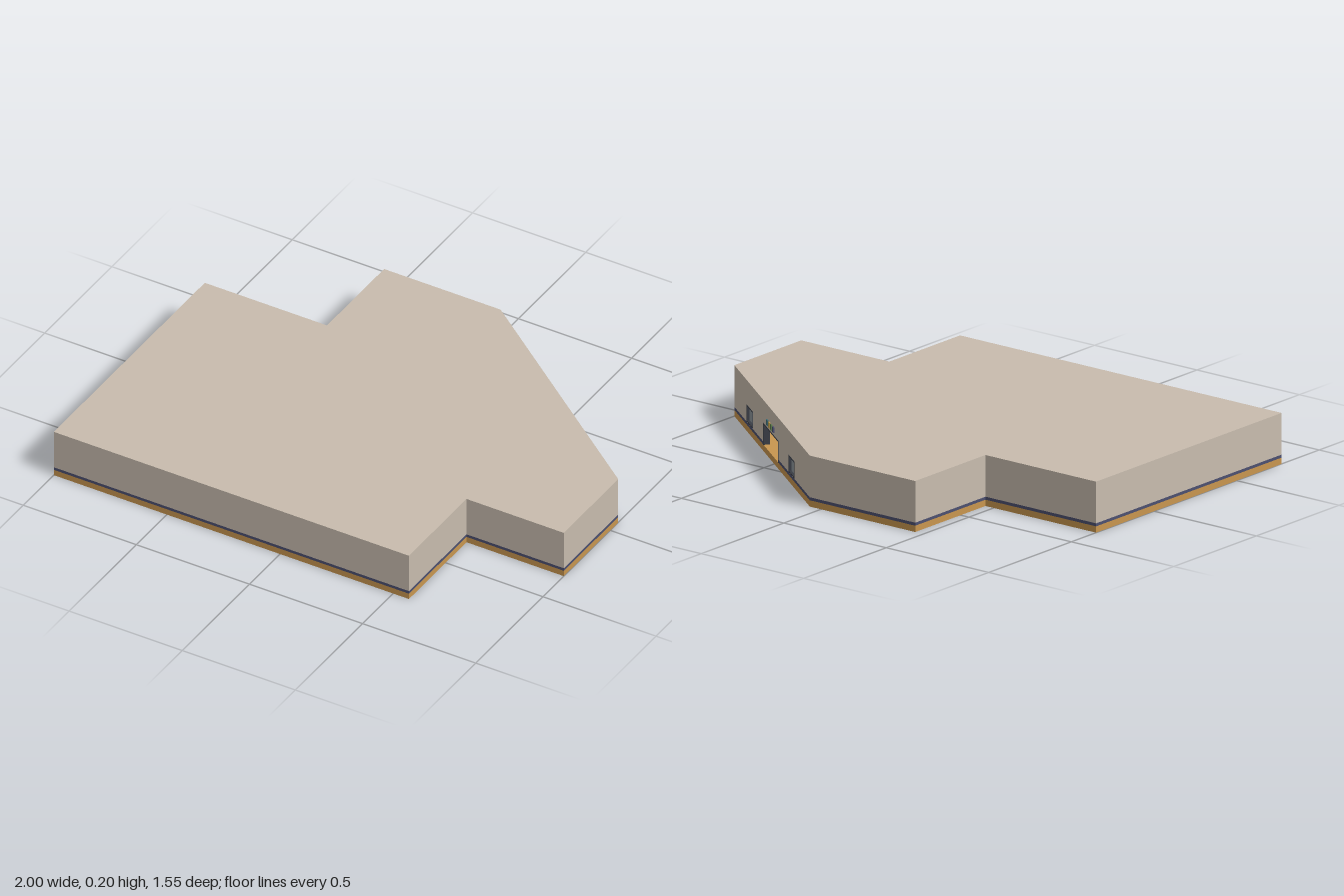
import * as THREE from 'three';

const mat = (color) => new THREE.MeshStandardMaterial({ color, flatShading: true });
const WALL = mat(0xc8bcae), WOOD = mat(0xc8964f), BAND = mat(0x4c5070);
const FRAME = mat(0x3a3e46), GLASS = mat(0x8c959b);

// Footprint as [x, z]; the entrance wall is the slanted edge from last to first
const PLAN = [[1, -0.06], [1, 0.345], [0.57, 0.345], [0.57, 0.773], [-1, 0.773],
  [-1, -0.35], [-0.46, -0.35], [-0.46, -0.775], [0.055, -0.775]];
const BASE = 0.025, BAND_TOP = 0.037, CEILING = 0.19, TOP = 0.203, THICK = 0.025;

// Footprint shrunk inwards by t, with mitred corners
function inset(t) {
  const n = PLAN.length;
  const inward = PLAN.map((p, i) => {
    const q = PLAN[(i + 1) % n];
    const len = Math.hypot(q[0] - p[0], q[1] - p[1]);
    return [-(q[1] - p[1]) / len, (q[0] - p[0]) / len];
  });
  return PLAN.map((p, i) => {
    const a = inward[(i + n - 1) % n], b = inward[i];
    const k = t / (1 + a[0] * b[0] + a[1] * b[1]);
    return [p[0] + k * (a[0] + b[0]), p[1] + k * (a[1] + b[1])];
  });
}

// Floor-plan outline raised from y0 to y1
function slab(name, points, y0, y1, material) {
  const shape = new THREE.Shape(points.map(([x, z]) => new THREE.Vector2(x, -z)));
  const geo = new THREE.ExtrudeGeometry(shape, { depth: y1 - y0, bevelEnabled: false });
  geo.rotateX(-Math.PI / 2).translate(0, y0, 0);
  const mesh = new THREE.Mesh(geo, material);
  mesh.name = name;
  return mesh;
}

// Strip between two insets that follows every wall except the entrance wall
const strip = (outer, inner) => [...inset(outer), ...inset(inner).reverse()];

// Box given by its limits
function box(name, x0, x1, y0, y1, z0, z1, material) {
  const mesh = new THREE.Mesh(new THREE.BoxGeometry(x1 - x0, y1 - y0, z1 - z0), material);
  mesh.position.set((x0 + x1) / 2, (y0 + y1) / 2, (z0 + z1) / 2);
  mesh.name = name;
  return mesh;
}

// Bars lining the sides and head (and sill) of an opening
function frame(name, x0, x1, y0, y1, sill) {
  const g = new THREE.Group(), b = 0.005, zi = -THICK, zo = 0.001;
  g.name = name;
  g.add(box('frameSide', x0, x0 + b, y0, y1, zi, zo, FRAME));
  g.add(box('frameSide', x1 - b, x1, y0, y1, zi, zo, FRAME));
  g.add(box('frameHead', x0 + b, x1 - b, y1 - b, y1, zi, zo, FRAME));
  if (sill) g.add(box('frameSill', x0 + b, x1 - b, y0, y0 + b, zi, zo, FRAME));
  return g;
}

// Slanted wall with doorway and two windows; local x runs along it, z outwards
function entranceWall() {
  const g = new THREE.Group();
  g.name = 'entranceWall';
  const [start, end] = [PLAN[0], PLAN[PLAN.length - 1]];
  const dx = end[0] - start[0], dz = end[1] - start[1], len = Math.hypot(dx, dz);
  g.position.set(start[0], 0, start[1]);
  g.rotation.y = Math.atan2(-dz, dx);

  const d0 = 0.454, d1 = 0.694, doorTop = 0.112;
  const winHalf = 0.047, w0 = 0.039, w1 = 0.106, windows = [0.244, 0.901];
  const shape = new THREE.Shape([[0, BAND_TOP], [d0, BAND_TOP], [d0, doorTop], [d1, doorTop],
    [d1, BAND_TOP], [len, BAND_TOP], [len, CEILING], [0, CEILING]]
    .map(([x, y]) => new THREE.Vector2(x, y)));
  for (const c of windows) {
    shape.holes.push(new THREE.Path([[-1, w0], [-1, w1], [1, w1], [1, w0]]
      .map(([s, y]) => new THREE.Vector2(c + s * winHalf, y))));
  }
  const geo = new THREE.ExtrudeGeometry(shape, { depth: THICK, bevelEnabled: false });
  geo.translate(0, 0, -THICK);
  const wall = new THREE.Mesh(geo, WALL);
  wall.name = 'wallPanel';
  g.add(wall);

  // Coloured band and indoor skirting either side of the doorway
  for (const [a, b] of [[0, d0], [d1, len]]) {
    g.add(box('band', a, b, BASE, BAND_TOP, -THICK, 0, BAND));
    g.add(box('skirting', a + 0.03, b - 0.03, BASE, 0.04, -THICK - 0.004, -THICK, WOOD));
  }
  g.add(frame('doorFrame', d0, d1, BASE, doorTop, false));
  for (const c of windows) {
    g.add(frame('windowFrame', c - winHalf, c + winHalf, w0, w1, true));
    g.add(box('windowPane', c - winHalf, c + winHalf, w0, w1, -0.016, -0.01, GLASS));
  }
  // Small blank coloured tiles above the door
  [0x3f6f78, 0xb89a4a, 0x5a7a4c, 0x4c5070].forEach((color, i) => {
    const x = 0.52 + i * 0.031;
    g.add(box('signTile', x, x + 0.018, 0.124, 0.146, 0, 0.005, mat(color)));
  });
  return g;
}

export function createModel() {
  const model = new THREE.Group();
  model.name = 'building';
  model.add(slab('floor', PLAN, 0, BASE, WOOD));
  model.add(slab('band', strip(0, THICK), BASE, BAND_TOP, BAND));
  model.add(slab('outerWalls', strip(0, THICK), BAND_TOP, CEILING, WALL));
  model.add(slab('skirting', strip(THICK, THICK + 0.004), BASE, 0.04, WOOD));
  model.add(slab('roof', PLAN, CEILING, TOP, WALL));
  model.add(entranceWall());
  return model;
}
